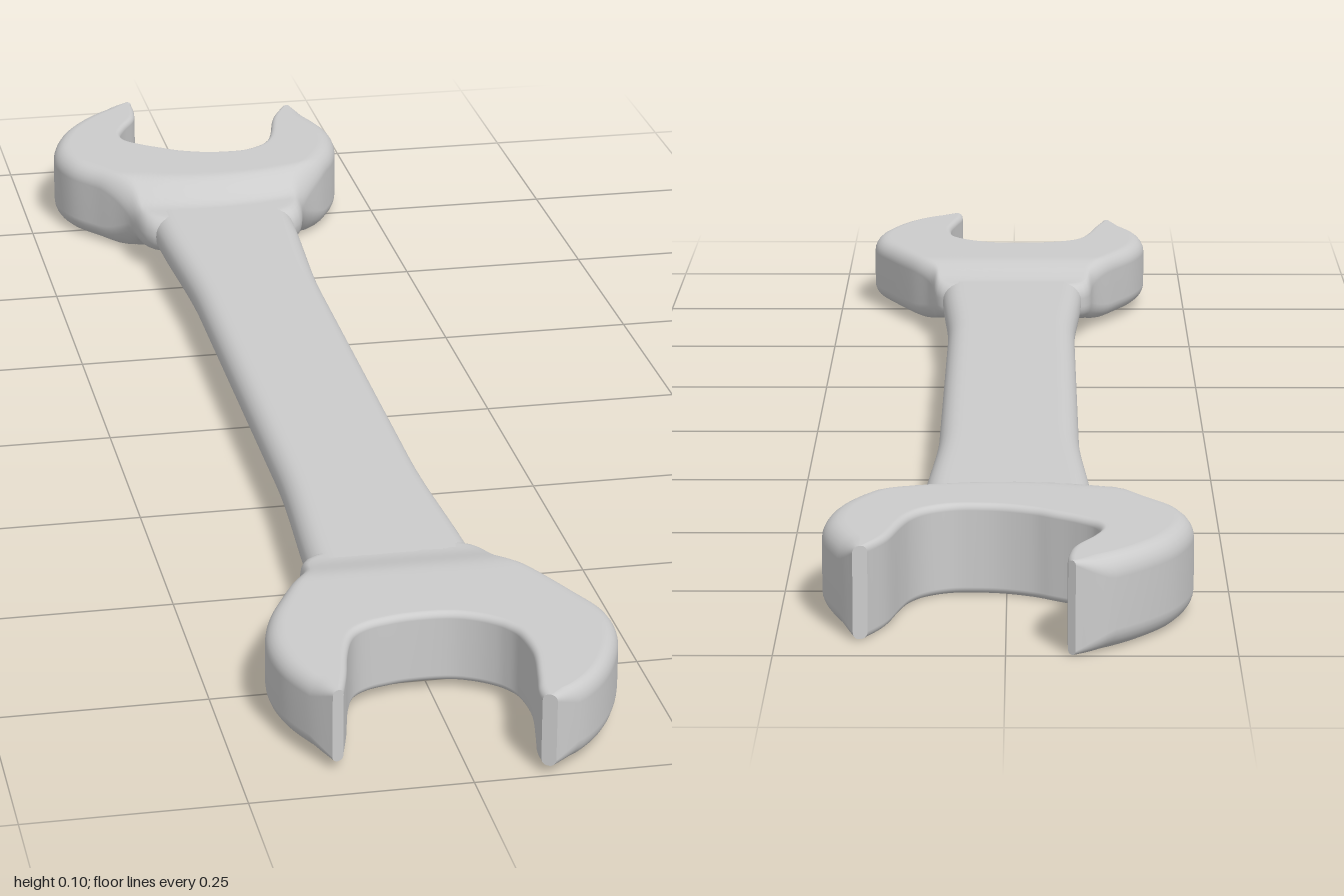
import * as THREE from 'three';

const MID = 0.0525; // height of the centre plane
const material = new THREE.MeshStandardMaterial({ color: 0xcccccc, roughness: 0.6 });

// Rounded-rectangle ring standing on the line a -> b (x, z); half height follows halfAt(x, z)
function section(a, b, r0, r1, halfAt) {
  const width = a.distanceTo(b);
  const e0 = Math.min(r0, width * 0.45), e1 = Math.min(r1, width * 0.45);
  const arc = 6, flat = 22, half = [];
  for (let i = 0; i <= arc; i++) {
    const t = (i / arc) * Math.PI / 2;
    half.push([e0 * (1 - Math.cos(t)), e0 * (1 - Math.sin(t))]);
  }
  for (let i = 1; i < flat; i++) half.push([e0 + (width - e0 - e1) * i / flat, 0]);
  for (let i = 0; i <= arc; i++) {
    const t = (i / arc) * Math.PI / 2;
    half.push([width - e1 * (1 - Math.sin(t)), e1 * (1 - Math.cos(t))]);
  }
  const place = ([d, drop], side) => {
    const p = a.clone().lerp(b, d / width);
    const h = halfAt(p.x, p.y);
    return new THREE.Vector3(p.x, MID + side * Math.max(h - drop, 0), p.y);
  };
  return [...half.map(q => place(q, 1)), ...half.reverse().map(q => place(q, -1))];
}

// Skin a row of equal rings and close both ends
function loft(name, rings) {
  const n = rings[0].length, pos = [], index = [];
  rings.forEach(ring => ring.forEach(p => pos.push(p.x, p.y, p.z)));
  for (let i = 0; i < rings.length - 1; i++) {
    for (let j = 0; j < n; j++) {
      const k = (j + 1) % n;
      const a = i * n + j, b = i * n + k, c = a + n, d = b + n;
      index.push(a, c, b, b, c, d);
    }
  }
  [rings[0], rings[rings.length - 1]].forEach((ring, end) => {
    const start = pos.length / 3;
    const centre = ring.reduce((s, p) => s.add(p), new THREE.Vector3()).divideScalar(n);
    [...ring, centre].forEach(p => pos.push(p.x, p.y, p.z));
    for (let j = 0; j < n; j++) {
      const a = start + j, b = start + (j + 1) % n;
      if (end) index.push(start + n, b, a);
      else index.push(start + n, a, b);
    }
  });
  const geometry = new THREE.BufferGeometry();
  geometry.setAttribute('position', new THREE.Float32BufferAttribute(pos, 3));
  geometry.setIndex(index);
  geometry.computeVertexNormals();
  const mesh = new THREE.Mesh(geometry, material);
  mesh.name = name;
  return mesh;
}

// Open jaw: sections swept between the throat curve and the outer curve
function jaw(name, pairs, { full, z0, z1, bow, radius }) {
  const throat = new THREE.SplineCurve(pairs.map(p => new THREE.Vector2(p[0], p[1])));
  const outer = new THREE.SplineCurve(pairs.map(p => new THREE.Vector2(p[2], p[3])));
  const halfAt = (x, z) =>
    0.0258 + (full - 0.0258) * THREE.MathUtils.smoothstep(Math.abs(z) - bow * x * x, z0, z1);
  const rings = [], steps = 96;
  for (let i = 0; i <= steps; i++) {
    rings.push(section(throat.getPoint(i / steps), outer.getPoint(i / steps), 0.008, radius, halfAt));
  }
  return loft(name, rings);
}

// [throat x, throat z, outer x, outer z], from the left-hand tip to the right-hand tip
const frontPairs = [
  [-0.133, 0.938, -0.146, 0.942],
  [-0.121, 0.895, -0.168, 0.905],
  [-0.111, 0.850, -0.188, 0.850],
  [-0.100, 0.815, -0.192, 0.790],
  [-0.088, 0.796, -0.178, 0.730],
  [-0.070, 0.784, -0.148, 0.668],
  [-0.050, 0.778, -0.118, 0.612],
  [-0.030, 0.774, -0.098, 0.550],
  [0.000, 0.773, 0.000, 0.520],
  [0.025, 0.776, 0.098, 0.550],
  [0.045, 0.784, 0.117, 0.612],
  [0.063, 0.796, 0.146, 0.662],
  [0.078, 0.812, 0.178, 0.730],
  [0.089, 0.837, 0.201, 0.790],
  [0.092, 0.885, 0.199, 0.850],
  [0.083, 0.940, 0.172, 0.920],
  [0.077, 0.970, 0.135, 0.970],
  [0.077, 0.990, 0.092, 0.998],
];
const backPairs = [
  [-0.067, -0.992, -0.075, -0.999],
  [-0.067, -0.965, -0.112, -0.985],
  [-0.073, -0.930, -0.157, -0.940],
  [-0.092, -0.893, -0.191, -0.885],
  [-0.103, -0.862, -0.208, -0.815],
  [-0.098, -0.835, -0.195, -0.752],
  [-0.076, -0.812, -0.158, -0.698],
  [-0.050, -0.793, -0.126, -0.645],
  [-0.028, -0.778, -0.101, -0.565],
  [0.005, -0.765, 0.000, -0.530],
  [0.035, -0.761, 0.101, -0.565],
  [0.062, -0.763, 0.129, -0.640],
  [0.088, -0.778, 0.170, -0.700],
  [0.105, -0.802, 0.197, -0.760],
  [0.116, -0.835, 0.204, -0.830],
  [0.130, -0.893, 0.184, -0.903],
  [0.150, -0.935, 0.166, -0.941],
];

export function createModel() {
  const group = new THREE.Group();
  group.name = 'openEndedWrench';

  // Flat handle, flaring slightly into both necks
  const rings = [];
  for (let i = 0; i <= 60; i++) {
    const z = -0.6 + 1.2 * i / 60;
    const w = 0.086 + 0.013 * THREE.MathUtils.smoothstep(Math.abs(z), 0.28, 0.6);
    rings.push(section(new THREE.Vector2(-w, z), new THREE.Vector2(w, z), 0.024, 0.024, () => 0.0262));
  }
  group.add(loft('handle', rings));

  // Jaws at both ends, the back one thicker with a bowed shoulder
  group.add(jaw('frontJaw', frontPairs, { full: 0.0435, z0: 0.565, z1: 0.66, bow: 0, radius: 0.02 }));
  group.add(jaw('backJaw', backPairs.reverse().map(p => [...p]),
    { full: 0.0525, z0: 0.605, z1: 0.665, bow: 1.5, radius: 0.024 }));
  return group;
}
